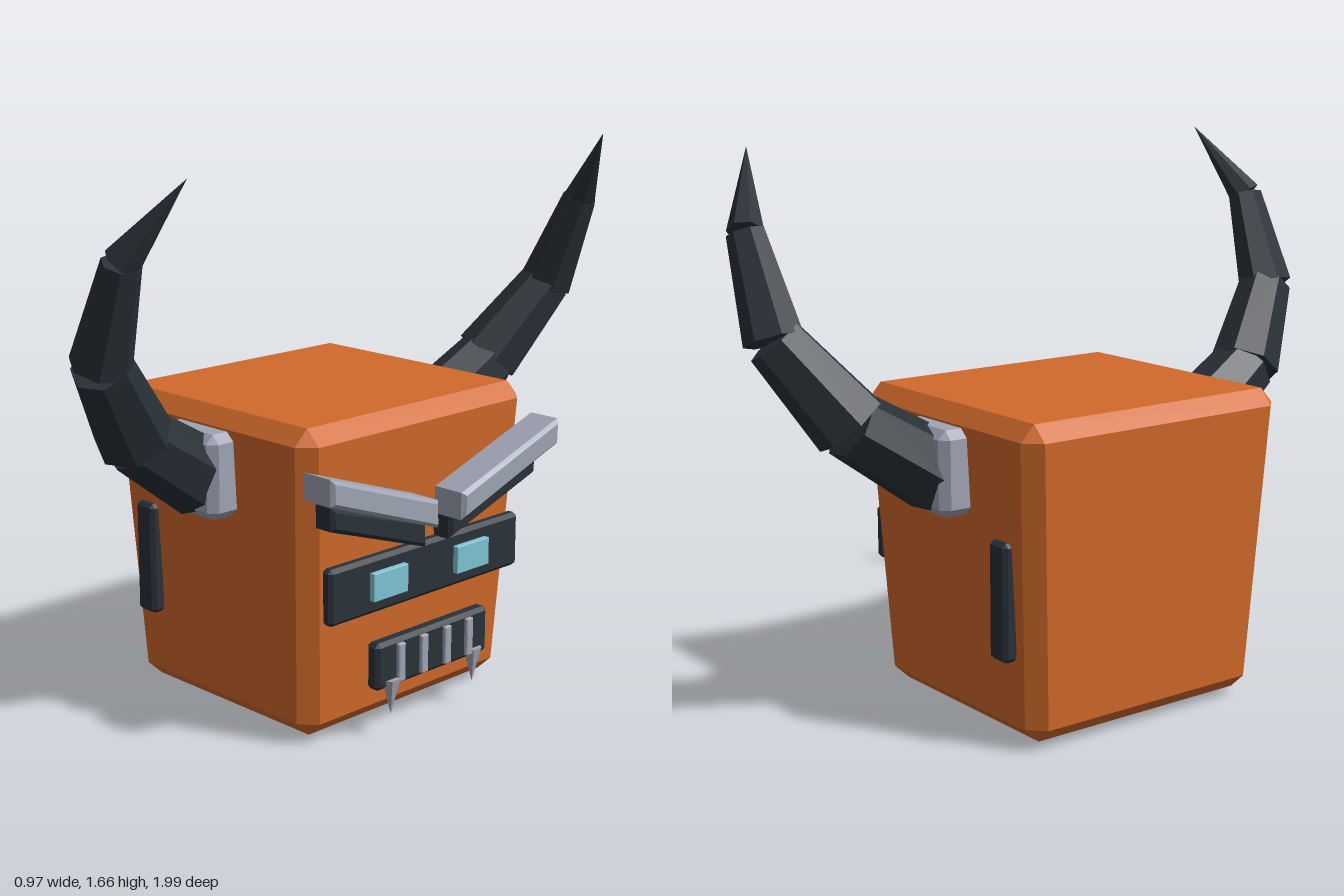
import * as THREE from 'three';
import { ConvexGeometry } from 'three/addons/geometries/ConvexGeometry.js';

const mat = (name, color) => {
  const m = new THREE.MeshStandardMaterial({ color, flatShading: true });
  m.name = name;
  return m;
};

// Box with every edge cut at 45 degrees
function chamferBox(w, h, d, c) {
  const pts = [];
  for (const sx of [-1, 1]) for (const sy of [-1, 1]) for (const sz of [-1, 1]) {
    const x = w / 2, y = h / 2, z = d / 2;
    pts.push(new THREE.Vector3(sx * x, sy * (y - c), sz * (z - c)));
    pts.push(new THREE.Vector3(sx * (x - c), sy * y, sz * (z - c)));
    pts.push(new THREE.Vector3(sx * (x - c), sy * (y - c), sz * z));
  }
  return new ConvexGeometry(pts);
}

export function createModel() {
  const root = new THREE.Group();
  root.name = 'hornedHead';
  const orange = mat('orange shell', 0xd16a2b);
  const dark = mat('dark slate', 0x293138);
  const grey = mat('pale grey', 0x9fa4b4);
  const cyan = mat('cyan glow', 0x7fc4d3);

  const add = (name, geo, material, x = 0, y = 0, z = 0) => {
    const m = new THREE.Mesh(geo, material);
    m.name = name;
    m.position.set(x, y, z);
    root.add(m);
    return m;
  };
  // Chamfered box given by its extents
  const block = (name, material, x0, x1, y0, y1, z0, z1, c) =>
    add(name, chamferBox(x1 - x0, y1 - y0, z1 - z0, c), material,
      (x0 + x1) / 2, (y0 + y1) / 2, (z0 + z1) / 2);

  // Head, narrowing towards the bottom
  const headGeo = chamferBox(0.86, 0.93, 0.93, 0.047);
  const p = headGeo.attributes.position;
  for (let i = 0; i < p.count; i++) {
    const inset = 0.05 * (0.465 - p.getY(i)) / 0.93;
    p.setX(i, p.getX(i) - Math.sign(p.getX(i)) * inset);
    p.setZ(i, p.getZ(i) - Math.sign(p.getZ(i)) * inset);
  }
  headGeo.computeVertexNormals();
  add('head', headGeo, orange, -0.06, 0.485, 0);

  // Hexagonal neck plug
  add('neck', new THREE.CylinderGeometry(0.225, 0.225, 0.06, 6), dark, -0.06, 0.03, 0);

  // Face plates
  block('visor', dark, 0.355, 0.397, 0.385, 0.553, -0.4, 0.4, 0.012);
  block('mouth', dark, 0.373, 0.422, 0.155, 0.298, -0.238, 0.238, 0.012);

  // Slab with slanted outline in the z-y plane, beveled, running from x0 to x1
  const slab = (name, material, outline, s, x0, x1) => {
    const b = 0.012;
    const shape = new THREE.Shape(outline.map(([z, y]) => new THREE.Vector2(-s * z, y)));
    const geo = new THREE.ExtrudeGeometry(shape, {
      depth: x1 - x0 - 2 * b, bevelThickness: b, bevelSize: b, bevelOffset: -b, bevelSegments: 1,
    });
    geo.rotateY(Math.PI / 2);
    add(name, geo, material, x0 + b, 0, 0);
  };

  // Horn joints: [x, y, z] centres, and [start, end] radii of each segment
  const joints = [[-0.06, 0.75, 0.477], [-0.03, 0.92, 0.738], [0.065, 1.16, 0.914],
    [0.182, 1.445, 0.927], [0.335, 1.665, 0.835]];
  const radii = [[0.122, 0.102], [0.112, 0.084], [0.087, 0.055], [0.053, 0]];

  for (const s of [1, -1]) {
    const side = s > 0 ? 'left' : 'right';
    const box = (name, m, x0, x1, y0, y1, z0, z1, c) =>
      block(side + name, m, x0, x1, y0, y1, Math.min(s * z0, s * z1), Math.max(s * z0, s * z1), c);

    // Brows with dark lids beneath
    slab(side + 'Brow', grey, [[0.05, 0.62], [0.478, 0.77], [0.478, 0.848], [0.05, 0.702]], s, 0.36, 0.485);
    slab(side + 'Lid', dark, [[0.05, 0.552], [0.43, 0.68], [0.43, 0.748], [0.05, 0.63]], s, 0.358, 0.436);

    box('Eye', cyan, 0.38, 0.415, 0.428, 0.512, 0.105, 0.245, 0.002);
    box('SidePlate', dark, -0.375, -0.295, 0.263, 0.607, 0.42, 0.47, 0.012);
    box('HornSocket', grey, -0.187, 0.067, 0.647, 0.897, 0.42, 0.54, 0.025);

    // Teeth and fang
    for (const z of [0.05, 0.146]) box('Tooth', grey, 0.41, 0.434, 0.168, 0.285, z - 0.014, z + 0.014, 0.003);
    const fang = add(side + 'Fang', new THREE.ConeGeometry(0.034, 0.108, 6), grey, 0.416, 0.127, s * 0.176);
    fang.rotation.x = Math.PI;
    fang.scale.x = 0.75;

    // Segmented horn
    const v = joints.map(([x, y, z]) => new THREE.Vector3(x, y, s * z));
    radii.forEach(([r0, r1], i) => {
      const dir = v[i + 1].clone().sub(v[i]);
      const horn = add(side + 'HornSegment' + (i + 1),
        new THREE.CylinderGeometry(r1, r0, dir.length(), 7), dark);
      horn.position.copy(v[i]).addScaledVector(dir, 0.5);
      horn.quaternion.setFromUnitVectors(new THREE.Vector3(0, 1, 0), dir.normalize());
    });
  }
  return root;
}
